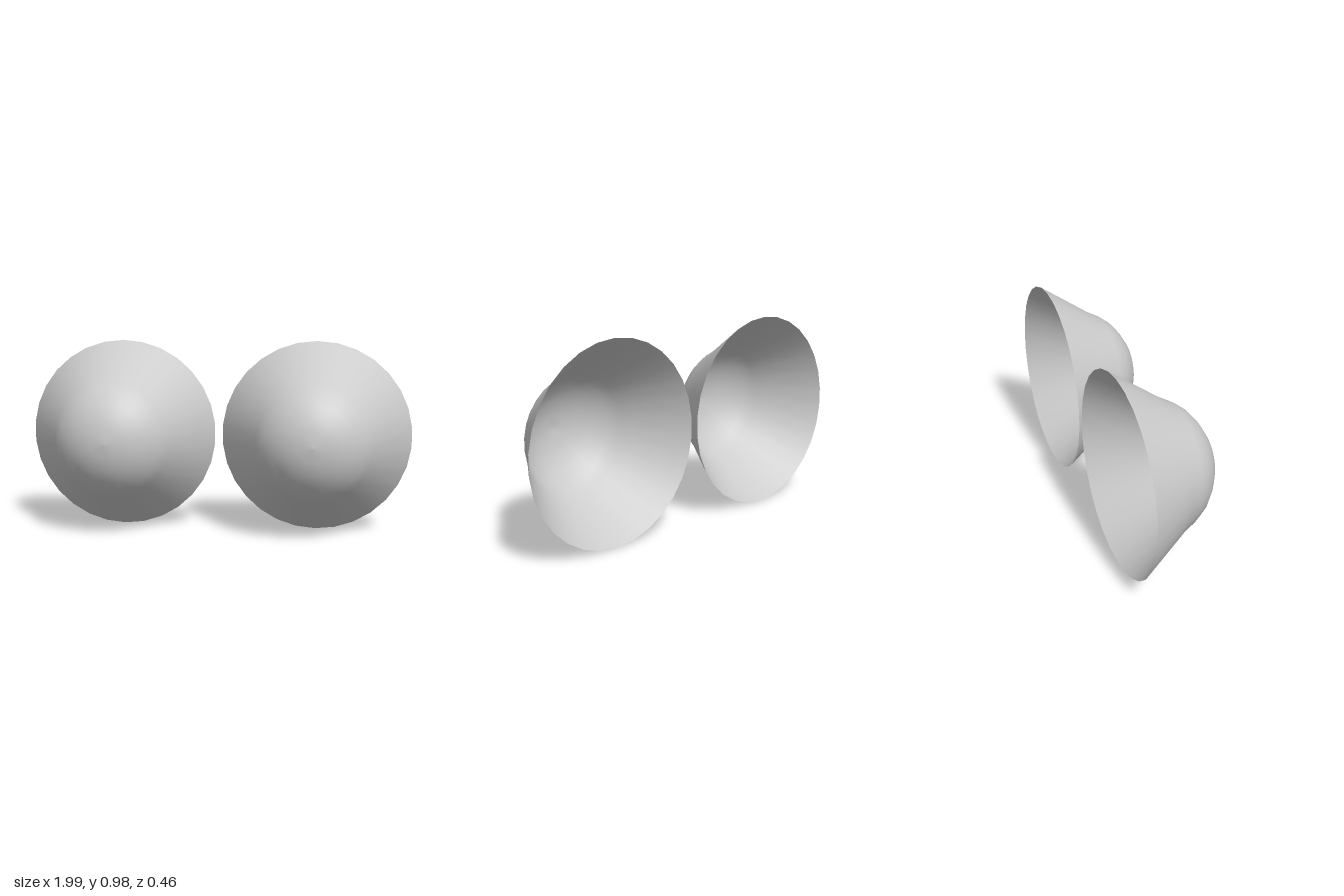
import * as THREE from 'three';

export function createModel() {
  const model = new THREE.Group();
  const material = new THREE.MeshStandardMaterial({ color: 0xcccccc, side: THREE.DoubleSide });

  // Half section from the open rim, up the flared skirt, over the round dome: [radius, depth]
  const profile = [
    [0.491, -0.228], [0.327, 0.008], [0.291, 0.073], [0.251, 0.125],
    [0.197, 0.168], [0.139, 0.201], [0.07, 0.222], [0, 0.228],
  ].map(([r, z]) => new THREE.Vector2(r, z));

  // Thin open shell, dome facing forward
  const shell = new THREE.LatheGeometry(profile, 30);
  shell.rotateX(Math.PI / 2);

  // Matching pair, side by side
  for (const side of [-1, 1]) {
    const cup = new THREE.Mesh(shell, material);
    cup.name = side > 0 ? 'leftCup' : 'rightCup';
    cup.position.set(side * 0.509, 0.493, 0);
    model.add(cup);
  }
  return model;
}
